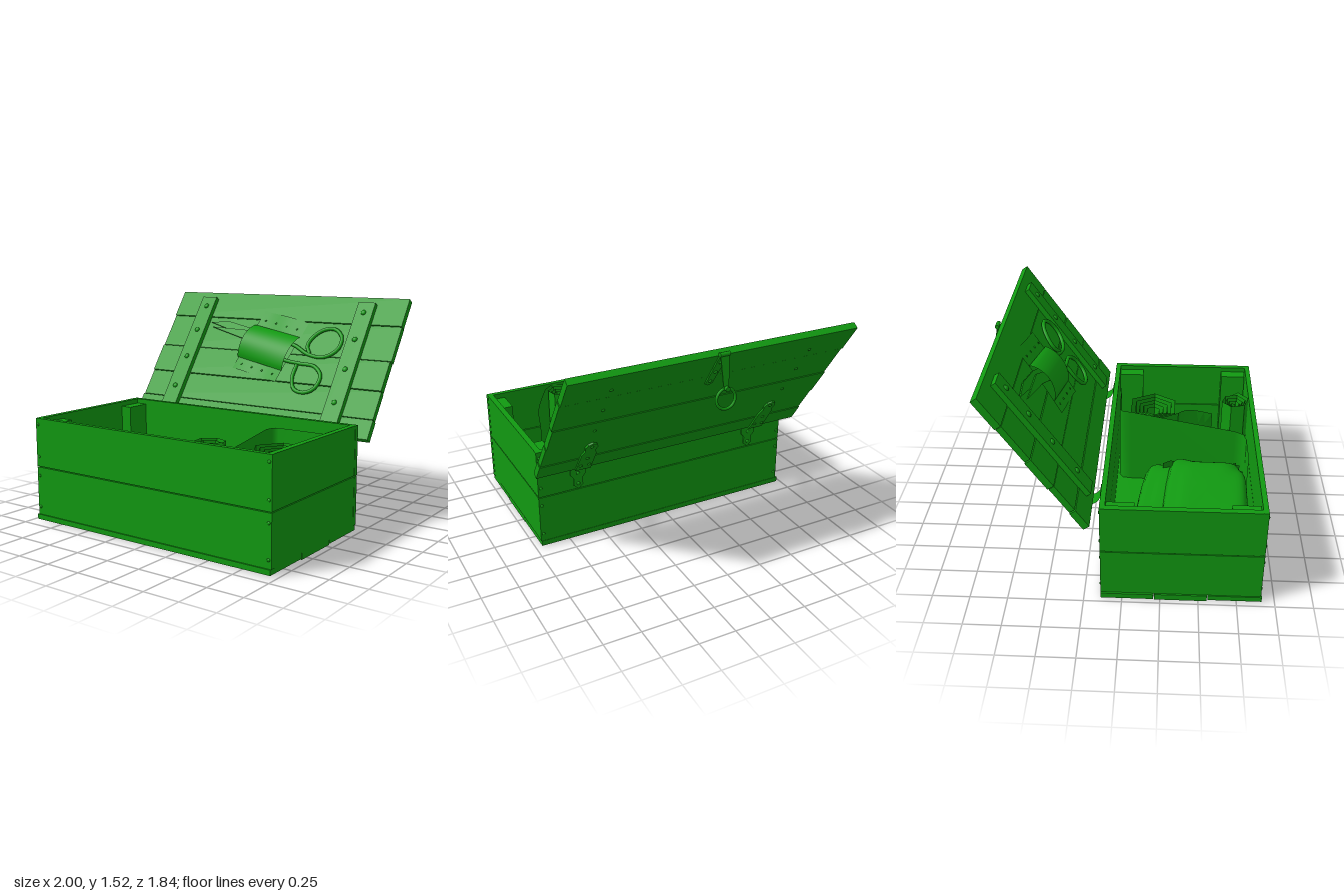
import * as THREE from 'three';

const mat = new THREE.MeshStandardMaterial({ color: 0x119911 });
const thin = new THREE.MeshStandardMaterial({ color: 0x119911, side: THREE.DoubleSide });
const thinFlat = new THREE.MeshStandardMaterial({ color: 0x119911, side: THREE.DoubleSide, flatShading: true });
const V = (x, y, z) => new THREE.Vector3(x, y, z);

function add(parent, name, geo, m = mat) {
  const mesh = new THREE.Mesh(geo, m);
  mesh.name = name;
  parent.add(mesh);
  return mesh;
}

// Box given by its limits on each axis
function block(parent, name, x0, x1, y0, y1, z0, z1) {
  const b = add(parent, name, new THREE.BoxGeometry(x1 - x0, y1 - y0, z1 - z0));
  b.position.set((x0 + x1) / 2, (y0 + y1) / 2, (z0 + z1) / 2);
  return b;
}

// Domed rivet; dir = +1 / -1 along z
function rivet(parent, x, y, z, dir, r = 0.013) {
  const g = new THREE.SphereGeometry(r, 10, 5, 0, Math.PI * 2, 0, Math.PI / 2);
  g.rotateX(dir * Math.PI / 2);
  g.scale(1, 1, 0.7);
  add(parent, 'rivet', g).position.set(x, y, z);
}

// Thin open surface from f(u, v) -> Vector3
function sheet(parent, name, nu, nv, f, m = thin) {
  const g = new THREE.PlaneGeometry(1, 1, nu, nv);
  const p = g.attributes.position;
  for (let i = 0; i < p.count; i++) {
    const q = f(p.getX(i) + 0.5, p.getY(i) + 0.5);
    p.setXYZ(i, q.x, q.y, q.z);
  }
  g.computeVertexNormals();
  return add(parent, name, g, m);
}

function plate(parent, name, pts, depth) {
  const s = new THREE.Shape(pts.map(([x, y]) => new THREE.Vector2(x, y)));
  return add(parent, name, new THREE.ExtrudeGeometry(s, { depth, bevelEnabled: false }));
}

function tube(parent, name, pts, r, closed = false) {
  const curve = new THREE.CatmullRomCurve3(pts, closed);
  return add(parent, name, new THREE.TubeGeometry(curve, 36, r, 8, closed));
}

function makeCrate() {
  const g = new THREE.Group();
  g.name = 'crate';
  // two boards on each wall
  for (const [y0, y1] of [[0.045, 0.381], [0.387, 0.724]]) {
    block(g, 'frontBoard', -0.955, 0.96, y0, y1, 0.875, 0.91);
    block(g, 'backBoard', -0.955, 0.96, y0, y1, -0.14, -0.105);
    for (const s of [-1, 1]) block(g, 'sideBoard', s * 0.938 - 0.02, s * 0.938 + 0.02, y0, y1, -0.106, 0.876);
  }
  // floor planks
  [[-0.14, 0.207, 0.006], [0.213, 0.557, 0], [0.563, 0.915, 0.008]].forEach(([z0, z1, y], i) =>
    block(g, 'floorPlank', -0.97 + i * 0.003, 0.955, y, 0.043, z0, z1));
  // corner posts
  for (const s of [-1, 1]) for (const z of [-0.104, 0.69])
    block(g, 'cornerPost', s * 0.876 - 0.042, s * 0.876 + 0.042, 0.044, 0.69, z, z + 0.18);
  // nails at the board ends
  for (const x of [-0.935, 0.94]) for (const y of [0.1, 0.32, 0.455, 0.68]) {
    rivet(g, x, y, 0.91, 1, 0.011);
    rivet(g, x, y, -0.14, -1, 0.011);
  }
  return g;
}

// Lid frame: y runs up the lid, +z is its inner face
function makeLid() {
  const g = new THREE.Group();
  g.name = 'lid';
  const seams = [0, 0.15, 0.365, 0.595, 0.872, 1.1];
  for (let i = 0; i < 5; i++) {
    const d = (i % 2) * 0.006;
    block(g, 'lidPlank', -1 + d, 1 - (i % 3) * 0.004, seams[i] + 0.003, seams[i + 1] - 0.003, d / 2, 0.047 - d / 2);
  }
  for (const s of [-1, 1]) {
    block(g, 'lidBatten', s * 0.697 - 0.067, s * 0.697 + 0.067, 0.07, 1.035, 0.045, 0.083);
    for (const v of [0.23, 0.49, 0.73, 0.95]) {
      rivet(g, s * 0.695, v, 0.083, 1, 0.02);
      rivet(g, s * 0.695, v, 0.001, -1, 0.012);
    }
    // strap hinge leaf on the outer face
    const leaf = plate(g, 'hingeStrap', [[-0.055, 0], [0.055, 0], [0.052, 0.2], [0.035, 0.25], [0.045, 0.29],
      [0.03, 0.325], [0, 0.34], [-0.03, 0.325], [-0.045, 0.29], [-0.035, 0.25], [-0.052, 0.2]], 0.012);
    leaf.position.set(s * 0.675, 0, -0.011);
    for (const [x, v] of [[-0.03, 0.06], [0.03, 0.06], [0, 0.15], [0, 0.3]]) rivet(g, s * 0.675 + x, v, -0.01, -1);
  }
  // hasp plate near the top edge
  plate(g, 'haspPlate', [[-0.025, 0.8], [0, 0.78], [0.025, 0.8], [0.03, 1.1], [-0.03, 1.1]], 0.01).position.z = -0.01;
  for (const v of [0.83, 0.93, 1.03]) rivet(g, 0, v, -0.01, -1);
  g.add(makeTools());
  return g;
}

// Shears held in a leather sleeve on the inside of the lid
function makeTools() {
  const g = new THREE.Group();
  g.name = 'shearsAndSleeve';
  const sleeve = new THREE.Group();
  sleeve.name = 'sleeve';
  sleeve.position.set(0.005, 0.65, 0.049);
  sleeve.rotation.z = -0.2;
  sheet(sleeve, 'sleeveBack', 8, 8, (u, v) =>
    V((u - 0.5) * 0.42, (v - 0.5) * 0.52, 0.005 + 0.006 * Math.sin(u * 7 + v * 4)));
  sheet(sleeve, 'sleeveBand', 8, 20, (u, v) =>
    V((u - 0.5) * 0.43, (v - 0.5) * 0.29 - 0.02, 0.012 + 0.065 * Math.pow(Math.sin(Math.PI * v), 0.7) * (1 - 0.2 * u)));
  for (const y of [-0.21, 0.18]) for (let i = 0; i < 4; i++) rivet(sleeve, -0.15 + i * 0.1, y, 0.01, 1, 0.008);
  g.add(sleeve);
  const P = (x, y, z = 0.07) => V(x, (y - 0.64) / 0.822, z);
  // blades tapering to the left
  const blades = [[[-0.6, 1.31], [-0.42, 1.32], [-0.2, 1.28], [0.08, 1.19], [0.05, 1.14], [-0.22, 1.22]],
    [[-0.56, 1.27], [-0.22, 1.26], [0.08, 1.15], [0.05, 1.1], [-0.24, 1.2]]];
  blades.forEach((b, i) => {
    plate(g, 'blade', b.map(([x, y]) => [x, (y - 0.64) / 0.822]), 0.012).position.z = 0.056 + i * 0.013;
  });
  // shanks and finger loops
  tube(g, 'upperHandle', [P(-0.02, 1.22), P(0.22, 1.18), P(0.36, 1.125), P(0.49, 1.115), P(0.58, 1.17), P(0.585, 1.25),
    P(0.51, 1.305), P(0.42, 1.295), P(0.35, 1.24), P(0.33, 1.18), P(0.37, 1.13)], 0.014);
  tube(g, 'lowerHandle', [P(-0.02, 1.12), P(0.18, 1.075), P(0.32, 1.06), P(0.44, 1.05), P(0.515, 0.99), P(0.5, 0.91),
    P(0.43, 0.875), P(0.34, 0.89), P(0.295, 0.96), P(0.295, 1.05)], 0.014);
  return g;
}

function makeHardware() {
  const g = new THREE.Group();
  g.name = 'hardware';
  const bend = new THREE.CatmullRomCurve3([V(0, 0.67, -0.146), V(0, 0.63, -0.155), V(0, 0.6, -0.18),
    V(0, 0.588, -0.21), V(0, 0.597, -0.24)]);
  for (const s of [-1, 1]) {
    // bent hinge knuckle and wall leaf
    sheet(g, 'hingeBend', 1, 12, (u, v) => bend.getPoint(v).setX(s * 0.675 + (u - 0.5) * 0.11));
    const leaf = plate(g, 'hingeWallLeaf', [[-0.055, 0.67], [-0.055, 0.5], [-0.03, 0.47], [-0.035, 0.42], [0, 0.39],
      [0.035, 0.42], [0.03, 0.47], [0.055, 0.5], [0.055, 0.67]], 0.01);
    leaf.position.set(s * 0.675, 0, -0.15);
    for (const [x, y] of [[-0.03, 0.58], [0.03, 0.58], [0, 0.51], [0, 0.43]]) rivet(g, s * 0.675 + x, y, -0.149, -1);
  }
  // hanging hasp and ring
  const hook = add(g, 'haspKnuckle', new THREE.CylinderGeometry(0.014, 0.014, 0.07, 12));
  hook.rotation.z = Math.PI / 2;
  hook.position.set(0, 1.5, -0.872);
  const arm = plate(g, 'haspArm', [[-0.03, 0], [-0.018, -0.21], [0.018, -0.21], [0.03, 0]], 0.008);
  arm.position.set(0, 1.5, -0.875);
  arm.rotation.x = 0.14;
  const ring = add(g, 'haspRing', new THREE.TorusGeometry(0.066, 0.01, 8, 28));
  ring.position.set(0, 1.222, -0.9);
  ring.rotation.x = 0.07;
  const boss = add(g, 'ringPin', new THREE.CylinderGeometry(0.016, 0.016, 0.04, 10));
  boss.rotation.x = Math.PI / 2;
  boss.position.set(0, 1.29, -0.905);
  return g;
}

// Soft sack: a squared-off ball with wrinkles
function sack(parent, name, x, y, z, sx, sy, sz, turn) {
  const geo = new THREE.SphereGeometry(1, 48, 28);
  const p = geo.attributes.position;
  const sq = (a, e) => Math.sign(a) * Math.pow(Math.abs(a), e);
  for (let i = 0; i < p.count; i++) {
    const a = p.getX(i), b = p.getY(i), c = p.getZ(i);
    const w = 1 + 0.03 * Math.sin(5 * a + 3 * c) + 0.02 * Math.sin(9 * c - 4 * a + 3 * b);
    p.setXYZ(i, sq(a, 0.45) * sx * w, sq(b, 0.6) * sy * (w - 0.12 * a), sq(c, 0.45) * sz * w);
  }
  geo.computeVertexNormals();
  const m = add(parent, name, geo);
  m.position.set(x, y, z);
  m.rotation.y = turn;
}

// Six-sided paper roll standing on end, with a loose outer flap
function scroll(parent, x, z, r, top, turns, a0, tip) {
  const n = turns * 6;
  sheet(parent, 'paperRoll', n, 1, (u, v) => {
    const a = a0 + u * n * Math.PI / 3, q = r * (1 - 0.8 * u);
    return V(x + q * Math.cos(a), 0.046 + v * (top - 0.046 - 0.05 * u), z + q * Math.sin(a));
  }, thinFlat);
  const sx = x + r * Math.cos(a0), sz = z + r * Math.sin(a0);
  sheet(parent, 'paperFlap', 6, 4, (u, v) => V(
    sx + (tip[0] - sx) * u + 0.05 * Math.sin(Math.PI * u) * (v - 0.5) * 2,
    0.046 + v * (top - 0.046) * (1 - 0.35 * u),
    sz + (tip[1] - sz) * u - 0.08 * Math.sin(Math.PI * u) * (v - 0.5)), thinFlat);
}

function makeContents() {
  const g = new THREE.Group();
  g.name = 'contents';
  // bent sheet divider with a flange at each end
  const path = [[-0.02, 0.862], [0.22, 0.862], [0.285, 0.845], [0.31, 0.78], [0.335, 0],
    [0.345, -0.06], [0.38, -0.085], [0.75, -0.088]];
  sheet(g, 'divider', 7, 1, (u, v) => {
    const [x, z] = path[Math.round(u * 7)];
    return V(x, 0.046 + v * (0.6 - 0.17 * Math.min(1, Math.max(0, z))), z);
  });
  sack(g, 'lowerSack', -0.17, 0.17, 0.4, 0.42, 0.125, 0.33, -0.08);
  sack(g, 'upperSack', -0.28, 0.24, 0.55, 0.5, 0.15, 0.3, -0.05);
  sack(g, 'smallSack', -0.67, 0.15, 0.09, 0.18, 0.1, 0.155, 0.1);
  // gathered mouth of the sack
  for (let k = 0; k < 3; k++) sheet(g, 'sackFold', 6, 10, (u, v) => V(
    0.12 + k * 0.045 + u * 0.06 + 0.02 * Math.sin(v * 8 + k),
    0.34 - k * 0.05 - 0.13 * u + 0.015 * Math.sin(v * 13 + k * 2), 0.25 + k * 0.03 + v * 0.54));
  scroll(g, 0.57, 0.17, 0.215, 0.57, 5, 2.1, [0.77, 0.63]);
  scroll(g, 0.43, 0.77, 0.11, 0.72, 4, 0.3, [0.61, 0.74]);
  return g;
}

export function createModel() {
  const model = new THREE.Group();
  model.name = 'toolChest';
  const lid = makeLid();
  lid.position.set(0, 0.59, -0.233);
  lid.rotation.x = -0.607;
  model.add(makeCrate(), lid, makeHardware(), makeContents());
  return model;
}
